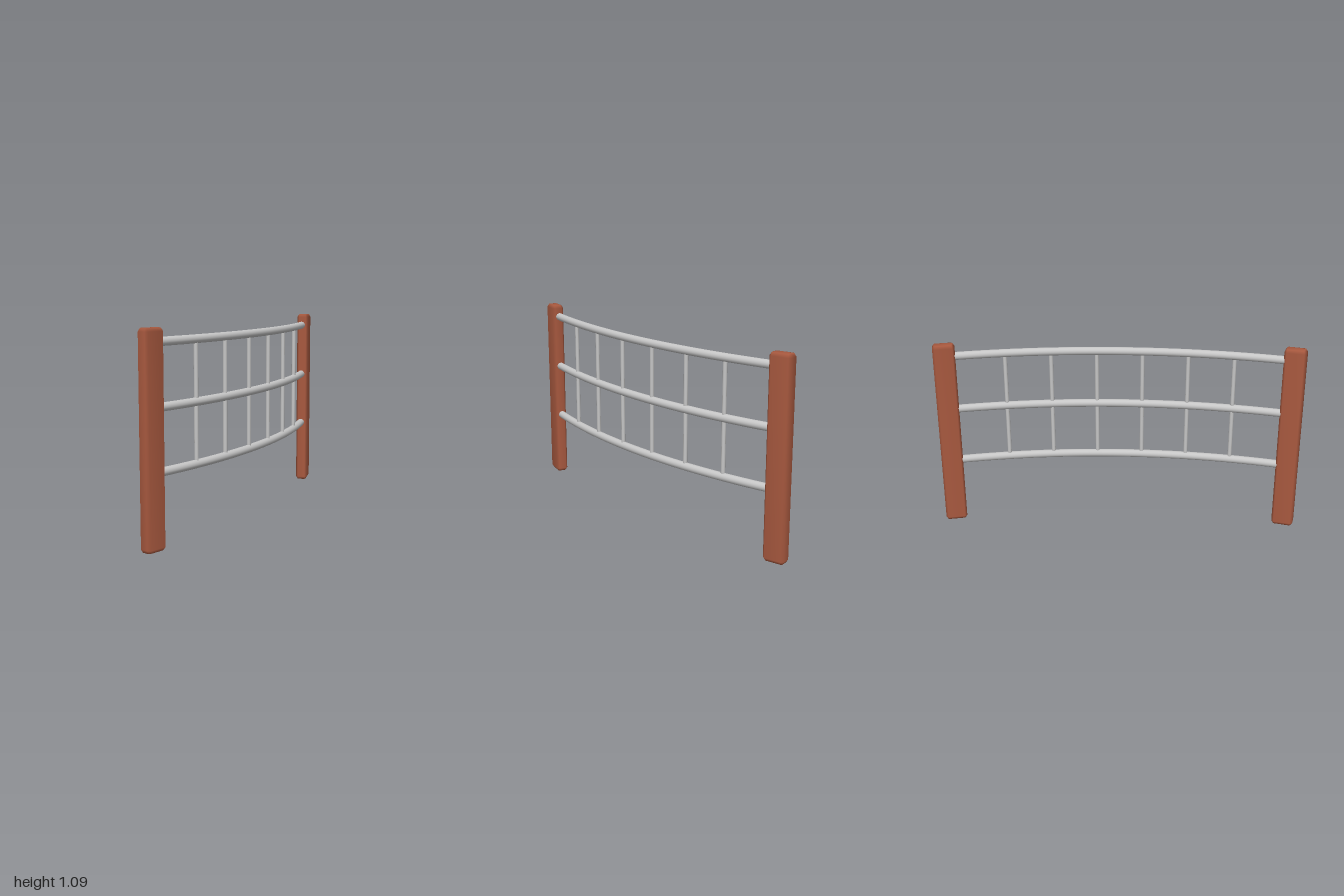
import * as THREE from 'three';
import { mergeVertices } from 'three/addons/utils/BufferGeometryUtils.js';

const R = 3.74, X0 = -0.94, Z0 = 0.255; // arc the fence follows in plan
const onArc = (a, y) => new THREE.Vector3(X0 + R * Math.sin(a), y, Z0 - R * (1 - Math.cos(a)));

// Arc of a horizontal rail
class RailCurve extends THREE.Curve {
  constructor(y, a0, a1) {
    super();
    Object.assign(this, { y, a0, a1 });
  }
  getPoint(t, target = new THREE.Vector3()) {
    return target.copy(onArc(this.a0 + (this.a1 - this.a0) * t, this.y));
  }
}

// Upright block with chamfered edges all round, softly shaded
function postGeometry(w, h, d, c) {
  const x = w / 2 - c, z = d / 2 - c, k = c * 0.59;
  const shape = new THREE.Shape([
    [x, -z - c + k], [x + c - k, -z], [x + c - k, z], [x, z + c - k],
    [-x, z + c - k], [-x - c + k, z], [-x - c + k, -z], [-x, -z - c + k],
  ].map(([u, v]) => new THREE.Vector2(u, v)));
  let g = new THREE.ExtrudeGeometry(shape, {
    depth: h - 2 * c, bevelEnabled: true, bevelThickness: c, bevelSize: k, bevelSegments: 1,
  });
  g.rotateX(-Math.PI / 2).translate(0, c, 0);
  g.deleteAttribute('uv');
  g.deleteAttribute('normal');
  g = mergeVertices(g, 1e-4);
  g.computeVertexNormals();
  return g;
}

export function createModel() {
  const group = new THREE.Group();
  const wood = new THREE.MeshStandardMaterial({ color: 0xa8593f });
  wood.name = 'red brown wood';
  const metal = new THREE.MeshStandardMaterial({ color: 0xc6c6c6 });
  metal.name = 'light grey metal';

  const add = (name, geometry, material) => {
    const mesh = new THREE.Mesh(geometry, material);
    mesh.name = name;
    group.add(mesh);
    return mesh;
  };

  // End posts, each turned to follow the arc
  const post = postGeometry(0.123, 1.09, 0.07, 0.017);
  add('rightPost', post, wood).position.set(-0.938, 0, 0.26);
  const leftPost = add('leftPost', post, wood);
  leftPost.position.set(0.94, 0, -0.243);
  leftPost.rotation.y = THREE.MathUtils.degToRad(28);

  // Three curved rails
  const heights = [0.383, 0.703, 1.021];
  for (const y of heights) {
    add('rail', new THREE.TubeGeometry(new RailCurve(y, 0.01, 0.51), 32, 0.0225, 16), metal);
  }

  // Thin uprights, evenly spaced along the arc
  const bar = new THREE.CylinderGeometry(0.0115, 0.0115, heights[2] - heights[0], 12, 1, true);
  for (let i = 0; i < 6; i++) {
    add('upright', bar, metal).position.copy(onArc(0.0897 + i * 0.0692, (heights[0] + heights[2]) / 2));
  }
  return group;
}
